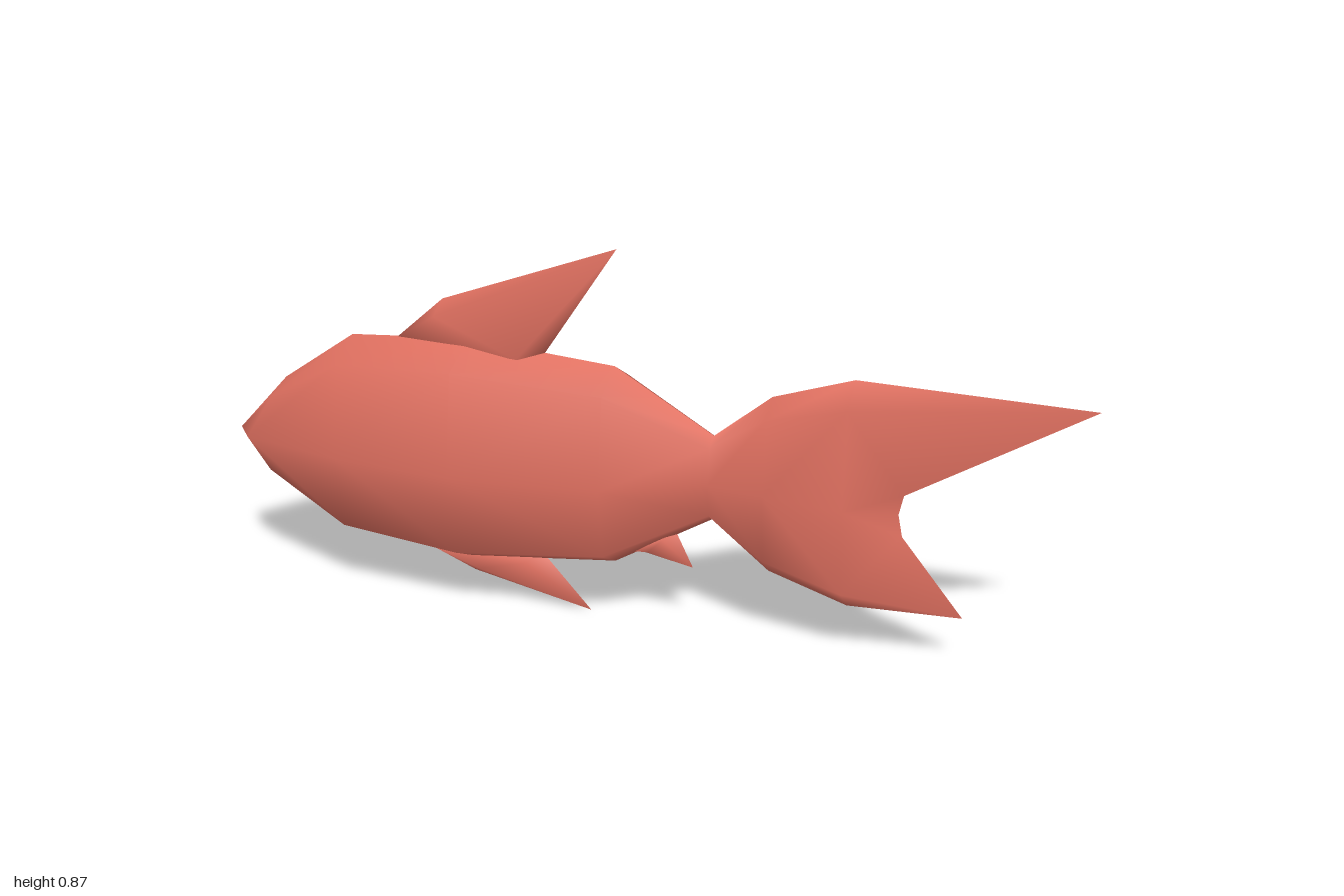
import * as THREE from 'three';

// Mesh from points of the +z half; side = -1 mirrors it. Smooth within a half, creased at z = 0.
function halfMesh(name, points, faces, material, side) {
  const geometry = new THREE.BufferGeometry();
  const coords = points.flatMap(([x, y, z]) => [x, y, z * side]);
  geometry.setAttribute('position', new THREE.Float32BufferAttribute(coords, 3));
  geometry.setIndex(faces.flatMap(([a, b, c]) => (side > 0 ? [a, b, c] : [a, c, b])));
  geometry.computeVertexNormals();
  const mesh = new THREE.Mesh(geometry, material);
  mesh.name = name + (side > 0 ? 'FrontHalf' : 'BackHalf');
  return mesh;
}

function mirrored(name, points, faces, material) {
  const group = new THREE.Group();
  group.name = name;
  for (const side of [1, -1]) group.add(halfMesh(name, points, faces, material, side));
  return group;
}

// Body and tail: half cross-sections from ridge to belly, lofted from nose to tail
function bodyAndTail(material) {
  // x, top, middle, bottom, half width, half width near ridge and belly
  const stations = [
    [-0.69, 0.608, 0.345, 0.122, 0.122, 0.092],
    [-0.4, 0.628, 0.342, 0.095, 0.143, 0.108],
    [-0.05, 0.6, 0.345, 0.133, 0.115, 0.086],
    [0.18, 0.465, 0.365, 0.268, 0.045, 0.034],
    [0.31, 0.57, 0.365, 0.162, 0.07, 0.052],
    [0.49, 0.628, 0.36, 0.105, 0.088, 0.066],
  ];
  const nose = [-1, 0.345, 0];
  const rings = [
    [nose, nose, nose, nose, nose],
    [[-0.87, 0.485, 0], [-0.885, 0.45, 0.05], [-0.95, 0.345, 0.06], [-0.9, 0.265, 0.05], [-0.885, 0.238, 0]],
    ...stations.map(([x, top, mid, bottom, w, e]) => [
      [x, top, 0],
      [x, mid + (top - mid) * 0.82, e],
      [x, mid, w],
      [x, mid + (bottom - mid) * 0.79, e],
      [x, bottom, 0],
    ]),
    // forked trailing edge of the tail
    [[1, 0.615, 0], [0.605, 0.38, 0], [0.595, 0.335, 0], [0.605, 0.285, 0], [0.745, 0.113, 0]],
  ];
  const faces = [];
  for (let i = 0; i < rings.length - 1; i++) {
    for (let j = 0; j < 4; j++) {
      const a = i * 5 + j, b = a + 5, c = b + 1, d = a + 1;
      if (j < 2) faces.push([a, d, b], [d, c, b]);
      else faces.push([a, d, c], [a, c, b]);
    }
  }
  return mirrored('bodyAndTail', rings.flat(), faces, material);
}

// Fin: front, knee, tip and back lie on the centre plane; two bulge points give thickness
function fin(name, points, material, pointsUp) {
  let faces = [[0, 4, 1], [1, 4, 2], [4, 5, 2], [5, 3, 2], [0, 5, 4], [0, 3, 5]];
  if (!pointsUp) faces = faces.map(([a, b, c]) => [a, c, b]);
  return mirrored(name, points, faces, material);
}

export function createModel() {
  const coral = new THREE.MeshStandardMaterial({ color: 0xe07060 });
  coral.name = 'coral';
  const fish = new THREE.Group();
  fish.name = 'fish';
  fish.add(
    bodyAndTail(coral),
    fin('dorsalFin', [
      [-0.58, 0.61, 0], [-0.46, 0.715, 0], [-0.045, 0.865, 0], [-0.23, 0.59, 0],
      [-0.47, 0.68, 0.032], [-0.27, 0.602, 0.037],
    ], coral, true),
    fin('pelvicFin', [
      [-0.52, 0.108, 0], [-0.4, 0.06, 0], [-0.11, 0, 0], [-0.23, 0.13, 0],
      [-0.38, 0.075, 0.024], [-0.26, 0.107, 0.027],
    ], coral, false),
    fin('analFin', [
      [-0.03, 0.16, 0], [0.02, 0.165, 0], [0.135, 0.143, 0], [0.09, 0.235, 0],
      [0.035, 0.175, 0.02], [0.07, 0.21, 0.024],
    ], coral, false),
  );
  return fish;
}
